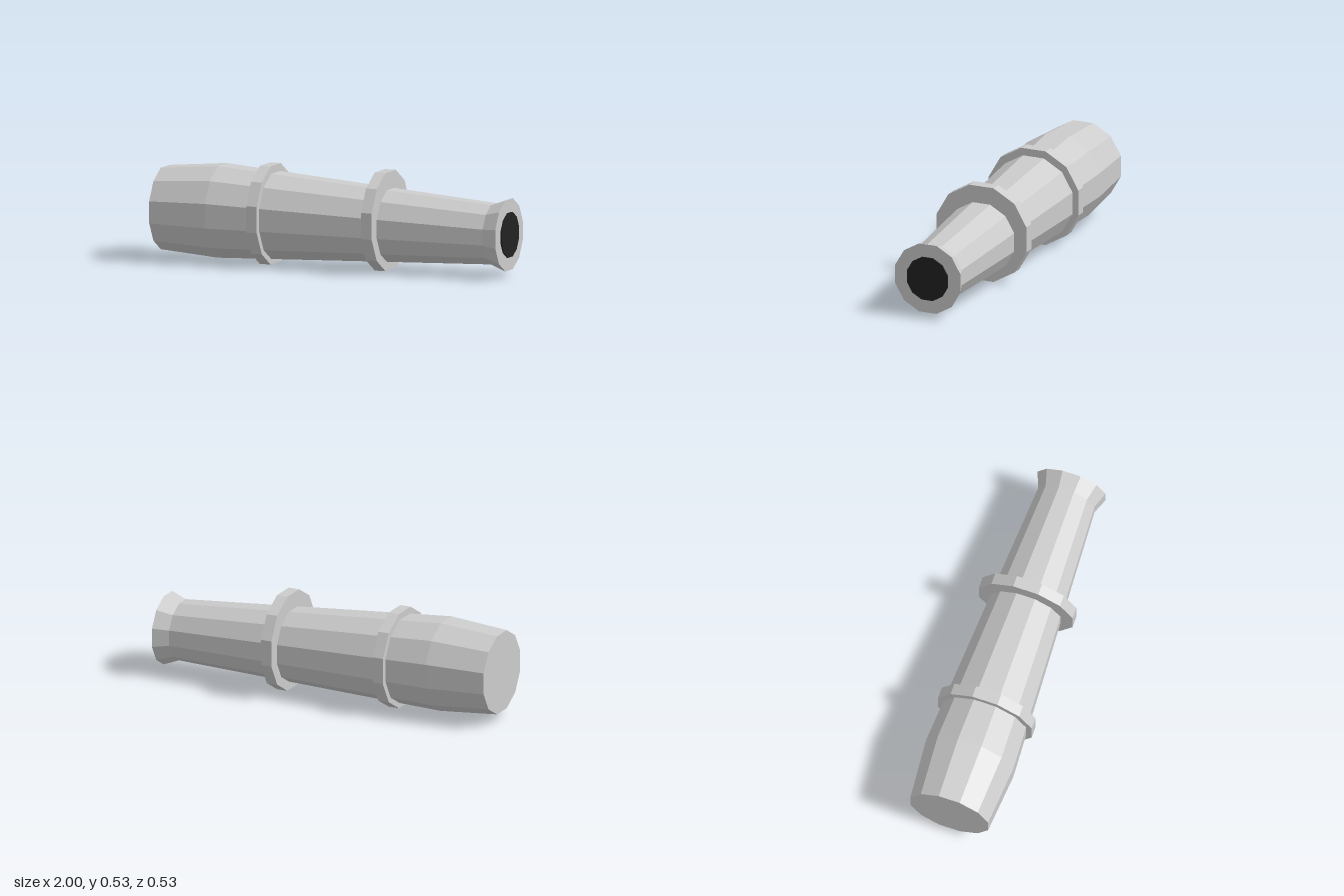
import * as THREE from 'three';

const SIDES = 12;
const FLAT = Math.cos(Math.PI / SIDES); // flat-to-centre distance over corner radius

// Twelve-sided solid along x; stations are [x, flat radius, centre height]
function turned(name, stations, material) {
  const first = stations[0], last = stations[stations.length - 1];
  const rings = [[first[0], 0, first[2]], ...stations, [last[0], 0, last[2]]];
  const points = rings.map(([x, r]) => new THREE.Vector2(r / FLAT, x));
  const geometry = new THREE.LatheGeometry(points, SIDES, Math.PI / SIDES);
  geometry.rotateZ(-Math.PI / 2);
  // Lift each ring to its own centre height, so the axis can slope
  const pos = geometry.attributes.position;
  for (let i = 0; i < pos.count; i++) {
    pos.setY(i, pos.getY(i) + rings[i % rings.length][2]);
  }
  geometry.computeVertexNormals();
  const mesh = new THREE.Mesh(geometry, material);
  mesh.name = name;
  return mesh;
}

export function createModel() {
  const metal = new THREE.MeshStandardMaterial({ color: 0xcccccc, flatShading: true });
  metal.name = 'light grey metal';
  const dark = new THREE.MeshStandardMaterial({ color: 0x222222, flatShading: true });
  dark.name = 'bore black';

  const model = new THREE.Group();
  model.name = 'cannonBarrel';

  // Tapered barrel with a flared muzzle
  model.add(turned('barrel', [
    [-1, 0.22, 0.267],
    [-0.667, 0.247, 0.267],
    [0.905, 0.16, 0.225],
    [0.992, 0.192, 0.224],
  ], metal));

  // Reinforcing bands
  for (const [name, x] of [['rearBand', -0.39], ['frontBand', 0.275]]) {
    model.add(turned(name, [[x - 0.031, 0.265, 0.265], [x + 0.031, 0.265, 0.265]], metal));
  }

  // Dark bore disc on the muzzle face
  model.add(turned('bore', [[0.991, 0.12, 0.224], [1, 0.12, 0.224]], dark));

  return model;
}
